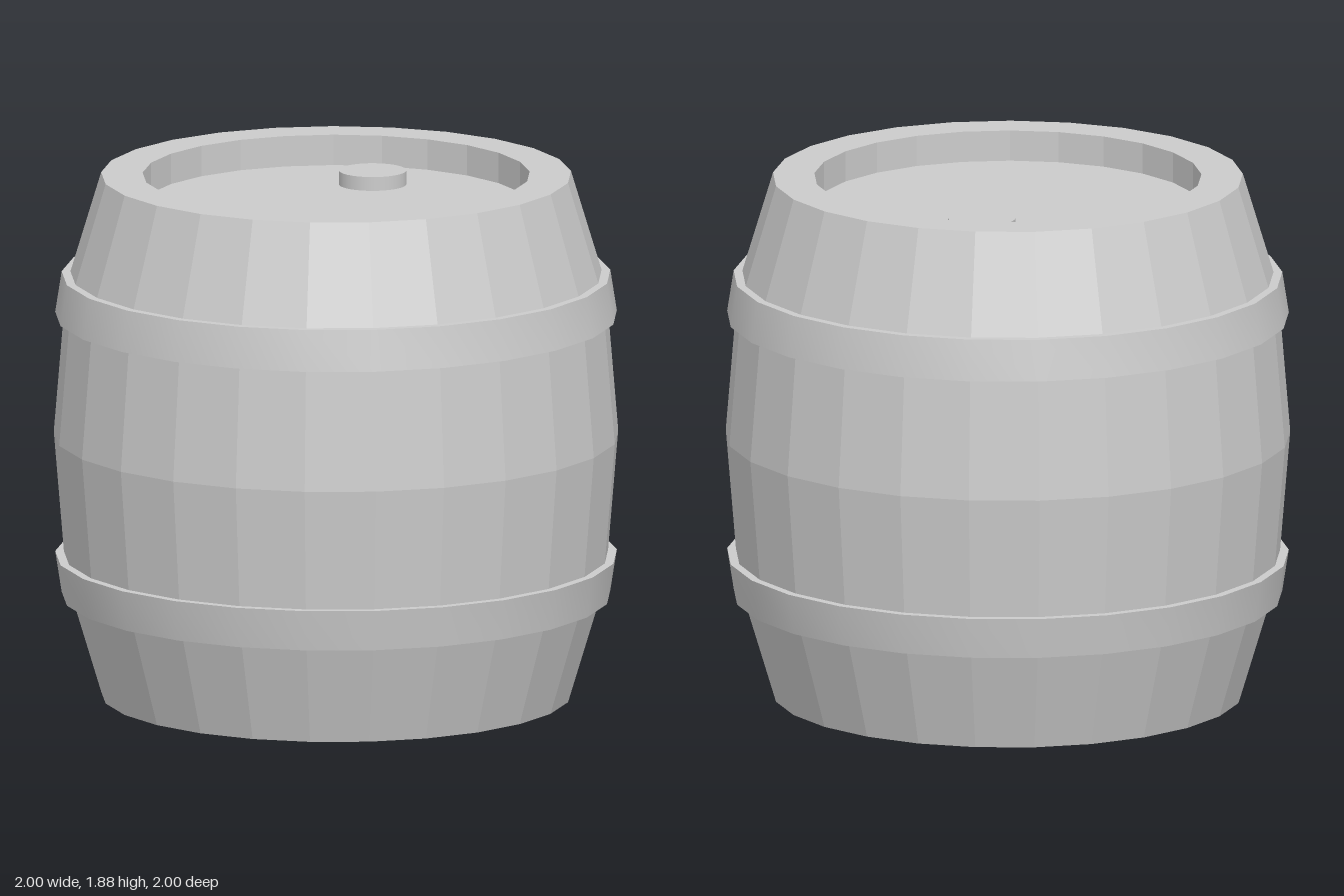
import * as THREE from 'three';
import { toCreasedNormals } from 'three/addons/utils/BufferGeometryUtils.js';

const SIDES = 25;
const HEIGHT = 1.88;
const material = new THREE.MeshStandardMaterial({ color: 0xcccccc });

// Revolved part, with a corner of the 25-gon pointing to the back
function lathe(name, profile, crease) {
  const points = profile.map(([r, y]) => new THREE.Vector2(r, y));
  const geometry = new THREE.LatheGeometry(points, SIDES, Math.PI);
  const mesh = new THREE.Mesh(toCreasedNormals(geometry, crease), material);
  mesh.name = name;
  return mesh;
}

export function createModel() {
  const barrel = new THREE.Group();
  barrel.name = 'barrel';

  // Faceted staves with a recessed head at both ends
  const lower = [[0, 0.11], [0.687, 0.11], [0.687, 0], [0.834, 0], [0.958, 0.41]];
  const upper = lower.map(([r, y]) => [r, HEIGHT - y]).reverse();
  barrel.add(lathe('body', [...lower, [1.002, HEIGHT / 2], ...upper], 0.1));

  // Smooth hoops, wider toward the middle of the barrel
  const hoop = [[0.93, 0.36], [0.974, 0.36], [0.997, 0.507], [0.95, 0.507], [0.93, 0.36]];
  barrel.add(lathe('lowerHoop', hoop, 0.5));
  const mirrored = hoop.map(([r, y]) => [r, HEIGHT - y]).reverse();
  barrel.add(lathe('upperHoop', mirrored, 0.5));

  // Bung on the top head
  const bung = new THREE.Mesh(new THREE.CylinderGeometry(0.12, 0.12, 0.07, 32), material);
  bung.name = 'bung';
  bung.position.set(0.29, 1.785, -0.25);
  barrel.add(bung);

  // An odd number of sides sits slightly off centre front to back
  barrel.position.z = 0.004;
  const model = new THREE.Group();
  model.name = 'model';
  model.add(barrel);
  return model;
}
